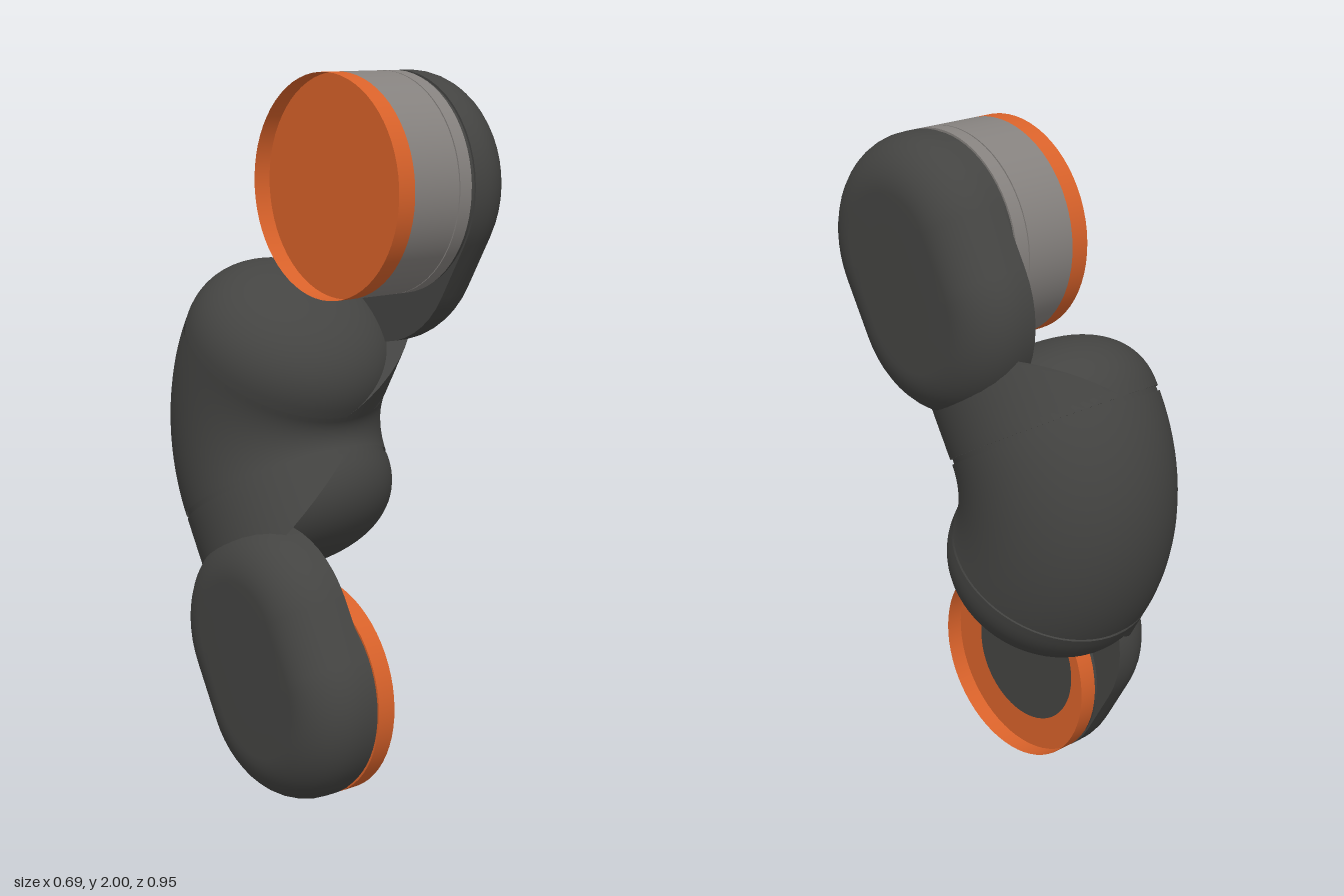
import * as THREE from 'three';

const R = 0.305;            // shared radius of tube, plates and discs
const DISC_Y = 0.583;       // joint axis height along the tube axis
const PLATE_Y = 0.41;       // lower centre of the stadium plate

const material = (color) => new THREE.MeshStandardMaterial({ color, side: THREE.DoubleSide });
const dark = material(0x444442);
const orange = material(0xd9622a);
const grey = material(0x86827f);

function add(parent, name, geometry, mat) {
  const mesh = new THREE.Mesh(geometry, mat);
  mesh.name = name;
  parent.add(mesh);
  return mesh;
}

// Surface through rows of points; closed joins the last column to the first
function loft(rows, closed) {
  const n = rows[0].length, index = [];
  for (let i = 0; i < rows.length - 1; i++) {
    for (let j = 0; j < (closed ? n : n - 1); j++) {
      const k = (j + 1) % n;
      const a = i * n + j, b = i * n + k, c = a + n, d = b + n;
      index.push(a, b, c, b, d, c);
    }
  }
  const g = new THREE.BufferGeometry();
  g.setAttribute('position', new THREE.Float32BufferAttribute(rows.flat(2), 3));
  g.setIndex(index);
  g.computeVertexNormals();
  return g;
}

// Stadium plate with a flat inner face and a rounded outer edge
function plateGeometry() {
  const x0 = 0.17, x1 = 0.345, fillet = 0.14;
  const profile = [[x0, 0], [x0, R], [x0, R]];
  for (let i = 0; i <= 10; i++) {
    const a = (i / 10) * Math.PI / 2;
    profile.push([x1 - fillet + fillet * Math.sin(a), R - fillet + fillet * Math.cos(a)]);
  }
  profile.push([x1, 0.08], [x1, 0]);
  const rows = profile.map(([x, r]) => {
    const row = [];
    for (const [cy, start] of [[DISC_Y, 0], [PLATE_Y, Math.PI]]) {
      for (let i = 0; i <= 24; i++) {
        const a = start + (i / 24) * Math.PI;
        row.push([x, cy + r * Math.sin(a), r * Math.cos(a)]);
      }
    }
    return row.reverse();
  });
  return loft(rows, true);
}

// Side of the tube running on into the plate, cut by a slanted plane
function neckGeometries() {
  const arcs = [], cuts = [];
  for (let i = 0; i <= 8; i++) {
    const y = 0.015 + 0.215 * i / 8;
    const half = Math.acos(1.25 * (y - 0.015) / R);
    const row = [];
    for (let j = 0; j <= 32; j++) {
      const a = half * (1 - j / 16);
      row.push([R * Math.cos(a), y, R * Math.sin(a)]);
    }
    arcs.push(row);
    cuts.push([row[32], row[0]]);
  }
  return [loft(arcs, false), loft(cuts, false)];
}

// Cylinder along x
function disc(x0, x1, r, open = false) {
  return new THREE.CylinderGeometry(r, r, x1 - x0, 64, 1, open)
    .rotateZ(Math.PI / 2).translate((x0 + x1) / 2, DISC_Y, 0);
}

// Flat ring or disc facing -x
function face(x, inner, outer) {
  const g = inner > 0 ? new THREE.RingGeometry(inner, outer, 64) : new THREE.CircleGeometry(outer, 64);
  return g.rotateY(-Math.PI / 2).translate(x, DISC_Y, 0);
}

// One end of the link, with the tube axis along local y
function linkEnd(name) {
  const end = new THREE.Group();
  end.name = name;
  end.position.set(0, 1.19, -0.284);
  end.rotation.x = Math.PI / 6;

  add(end, 'seam', new THREE.CylinderGeometry(R - 0.006, R - 0.006, 0.03, 64, 1, true), dark);
  const dome = [];
  for (let i = 0; i <= 20; i++) {
    const a = (i / 20) * Math.PI / 2;
    const e = 2 / 2.3;
    dome.push(new THREE.Vector2(i === 20 ? 0 : R * Math.cos(a) ** e, 0.015 + 0.225 * Math.sin(a) ** e));
  }
  add(end, 'dome', new THREE.LatheGeometry(dome, 64), dark);
  const [side, cut] = neckGeometries();
  add(end, 'neckSide', side, dark);
  add(end, 'neckCut', cut, dark);
  add(end, 'jointPlate', plateGeometry(), dark);
  add(end, 'jointGap', disc(0.155, 0.172, R - 0.006), dark);
  return end;
}

export function createModel() {
  const model = new THREE.Group();
  model.name = 'robotArmLink';

  // Bent tube between the two ends
  const elbow = new THREE.TorusGeometry(0.38, R, 64, 24, Math.PI / 3)
    .rotateZ(-Math.PI / 6).rotateY(Math.PI / 2).translate(0, 1, 0.045);
  add(model, 'elbow', elbow, dark);

  // Upper end: motor drum with an open orange rim
  const upper = linkEnd('upperEnd');
  add(upper, 'motorDrum', disc(-0.045, 0.11, R), grey);
  add(upper, 'drumGroove', disc(0.11, 0.114, R - 0.004), grey);
  add(upper, 'drumCollar', disc(0.114, 0.155, R), grey);
  add(upper, 'upperRim', disc(-0.1, -0.045, R, true), orange);
  add(upper, 'upperRimFloor', face(-0.047, 0, R), orange);
  model.add(upper);

  // Lower end: the same shape turned half round, with a shallow socket
  const lower = linkEnd('lowerEnd');
  add(lower, 'lowerRim', disc(0.1, 0.155, R, true), orange);
  add(lower, 'socketFloor', face(0.153, 0.205, R), orange);
  add(lower, 'socketCentre', face(0.153, 0, 0.205), dark);
  const turned = new THREE.Group();
  turned.name = 'lowerHalf';
  turned.rotation.z = Math.PI;
  turned.position.y = 2;
  turned.add(lower);
  model.add(turned);

  return model;
}
